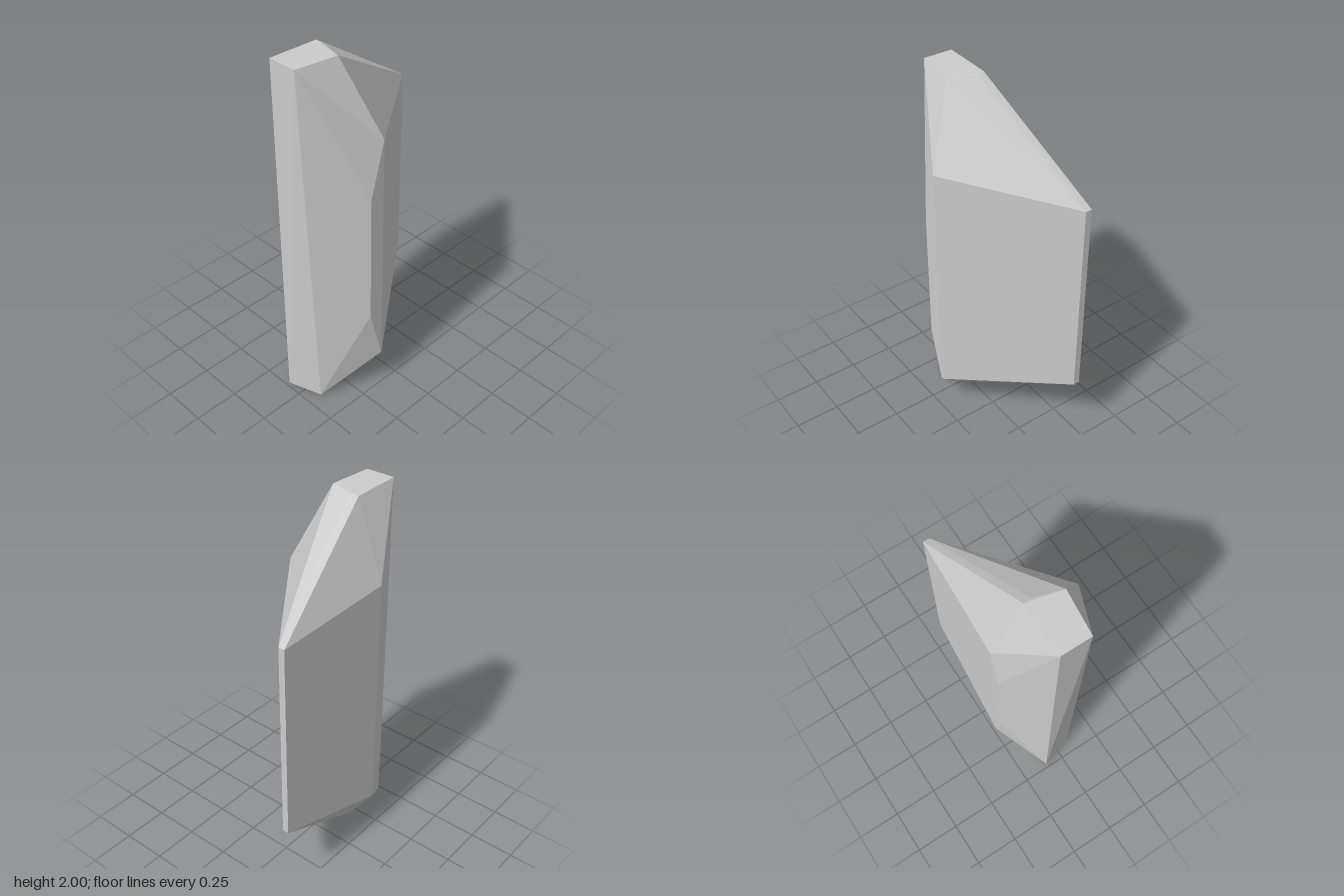
import * as THREE from 'three';
import { ConvexGeometry } from 'three/addons/geometries/ConvexGeometry.js';

export function createModel() {
  const group = new THREE.Group();
  group.name = 'crystal';
  const points = [];
  const add = (x, y, z) => points.push(new THREE.Vector3(x, y, z));

  // Vertical edges of the shaft: [x, z, bottom y, top y]
  const edges = [
    [0.478, -0.22, 0.415, 1.53],   // narrow outer edge, back
    [0.478, -0.185, 0.415, 1.53],  // narrow outer edge, front
    [-0.125, 0.262, 0.24, 1.585],  // front ridge
    [-0.21, 0.262, 0.55, 1.28],    // front bevel
    [-0.185, -0.264, 0.24, 1.585], // back ridge
    [-0.245, -0.264, 0.55, 1.28],  // back bevel
    [-0.48, -0.1, 0, 2],           // tall side edge
  ];
  for (const [x, z, low, high] of edges) {
    add(x, low, z);
    add(x, high, z);
  }

  // Cut top facet
  add(-0.48, 2, 0.06);
  add(-0.245, 1.995, 0.087);
  add(-0.2, 1.99, -0.055);
  add(-0.205, 1.995, -0.097);

  // Cut bottom facet
  add(-0.42, 0, 0.09);
  add(-0.255, 0, 0.055);
  add(-0.2, 0, -0.055);
  add(-0.205, 0, -0.097);

  const shard = new THREE.Mesh(
    new ConvexGeometry(points),
    new THREE.MeshStandardMaterial({ color: 0xcccccc, flatShading: true })
  );
  shard.name = 'crystalShard';
  group.add(shard);
  return group;
}
